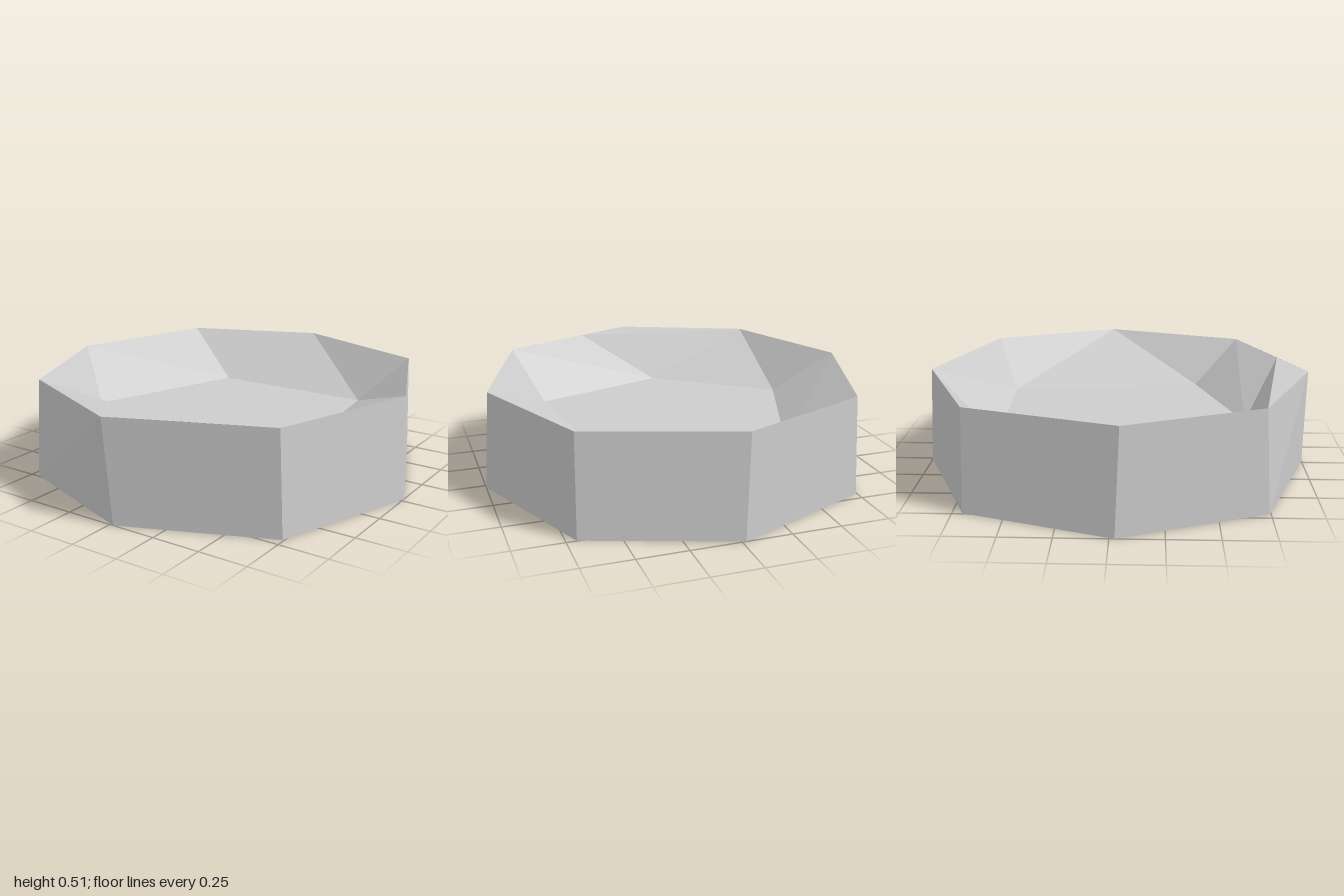
import * as THREE from 'three';

const HEIGHT = 0.515, FLOOR = 0.267;

// Flat-shaded surface from convex polygons, each split as a fan
function facets(name, polygons, material) {
  const pos = [];
  for (const p of polygons) {
    for (let i = 1; i < p.length - 1; i++) pos.push(...p[0], ...p[i], ...p[i + 1]);
  }
  const geo = new THREE.BufferGeometry();
  geo.setAttribute('position', new THREE.Float32BufferAttribute(pos, 3));
  geo.computeVertexNormals();
  const mesh = new THREE.Mesh(geo, material);
  mesh.name = name;
  return mesh;
}

const atHeight = (y, points) => points.map(([x, z]) => [x, y, z]);

export function createModel() {
  const group = new THREE.Group();
  group.name = 'basin';
  const stone = new THREE.MeshStandardMaterial({ color: 0xcccccc, side: THREE.DoubleSide, flatShading: true });
  stone.name = 'light grey';

  // Octagonal base and rim, starting at the front and turning towards +x
  const base = atHeight(0, [[0.02, 1], [0.743, 0.7], [1, -0.025], [0.7, -0.747],
    [-0.02, -1], [-0.743, -0.7], [-1, 0.025], [-0.705, 0.743]]);
  const R = atHeight(HEIGHT, [[-0.03, 0.998], [0.715, 0.688], [0.967, -0.05], [0.69, -0.72],
    [-0.045, -0.97], [-0.72, -0.69], [-0.97, 0.045], [-0.69, 0.713]]);

  // Five-sided floor
  const P = atHeight(FLOOR, [[-0.115, 0.67], [0.59, 0.447], [0.455, -0.595], [-0.405, -0.577], [-0.705, 0.235]]);
  // Extra corner on the front rim edge
  const Q = [0.265, HEIGHT, 0.873];

  const sides = R.map((r, i) => {
    const j = (i + 1) % 8;
    return [base[i], base[j], R[j], r];
  });
  group.add(facets('outerWall', sides, stone));
  group.add(facets('floor', [P], stone));
  group.add(facets('rimLedge', [[R[7], R[0], Q]], stone));

  // Sloping facets between the rim and the floor
  group.add(facets('innerSlopes', [
    [P[0], Q, R[1], P[1]],
    [R[1], R[2], P[1]],
    [P[1], R[2], P[2]],
    [R[2], R[3], P[2]],
    [R[3], R[4], P[2]],
    [P[2], R[4], P[3]],
    [R[4], R[5], P[3]],
    [P[3], R[5], R[6], P[4]],
    [R[6], R[7], P[4]],
    [P[4], R[7], P[0]],
    [R[7], Q, P[0]],
  ], stone));
  return group;
}
